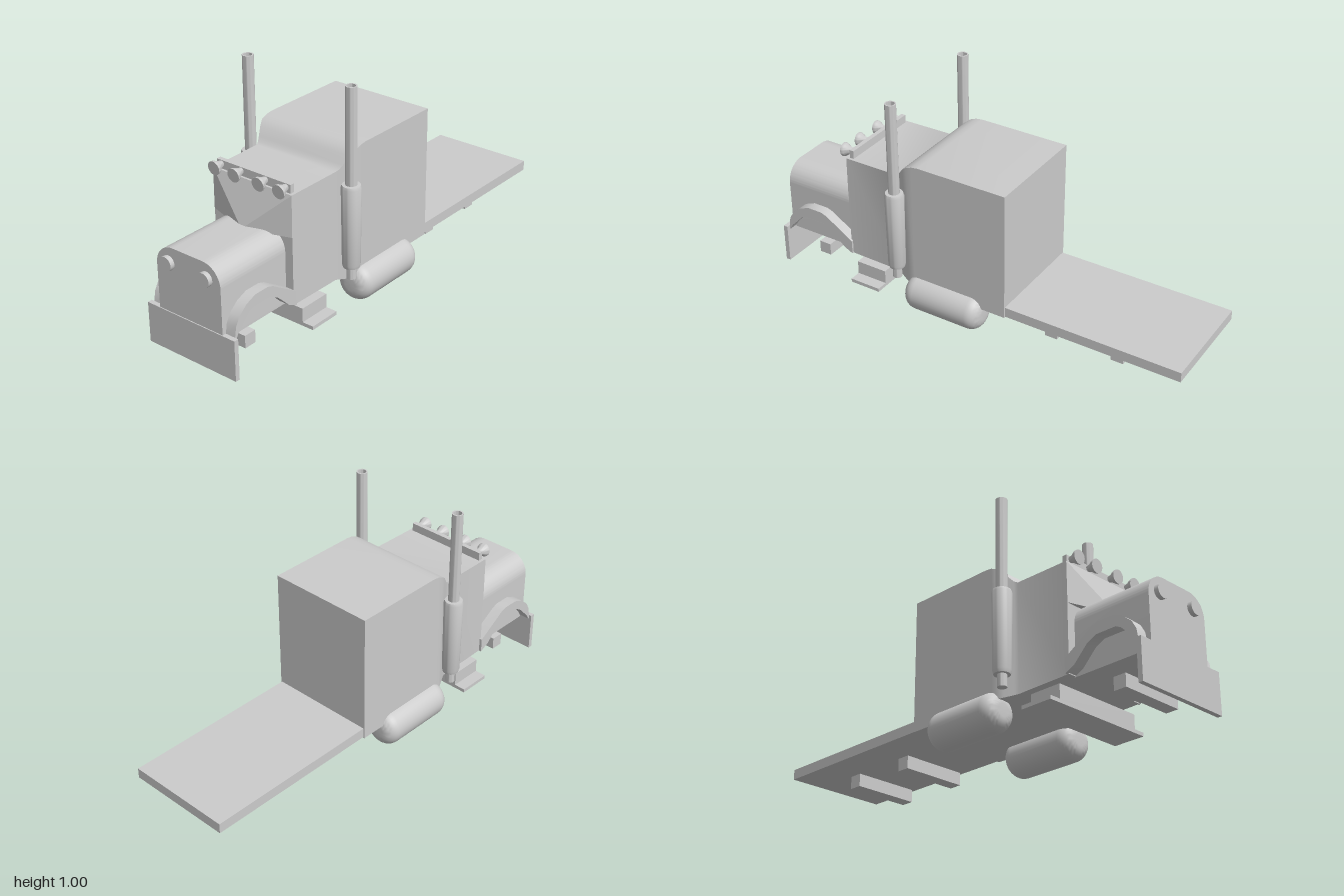
import * as THREE from 'three';
import { toCreasedNormals } from 'three/addons/utils/BufferGeometryUtils.js';
import { ConvexGeometry } from 'three/addons/geometries/ConvexGeometry.js';

const material = new THREE.MeshStandardMaterial({ color: 0xcccccc });
const openMaterial = new THREE.MeshStandardMaterial({ color: 0xcccccc, side: THREE.DoubleSide });

function add(parent, name, geometry, x = 0, y = 0, z = 0, mat = material) {
  const mesh = new THREE.Mesh(geometry, mat);
  mesh.name = name;
  mesh.position.set(x, y, z);
  parent.add(mesh);
  return mesh;
}

// Box given by half width and its y and z limits, centred on x = 0
function slab(parent, name, halfWidth, y0, y1, z0, z1) {
  return add(parent, name, new THREE.BoxGeometry(2 * halfWidth, y1 - y0, z1 - z0),
    0, (y0 + y1) / 2, (z0 + z1) / 2);
}

// Rectangular cross-sections [z, half width, bottom, top] joined from back to front
function loft(sections) {
  const positions = [], index = [];
  for (const [z, w, b, t] of sections) positions.push(w, b, z, w, t, z, -w, t, z, -w, b, z);
  for (let i = 0; i < sections.length - 1; i++) {
    for (let j = 0; j < 4; j++) {
      const a = i * 4 + j, b = i * 4 + (j + 1) % 4;
      index.push(a, b, b + 4, a, b + 4, a + 4);
    }
  }
  const f = (sections.length - 1) * 4;
  index.push(0, 2, 1, 0, 3, 2, f, f + 1, f + 2, f, f + 2, f + 3);
  const geometry = new THREE.BufferGeometry();
  geometry.setAttribute('position', new THREE.Float32BufferAttribute(positions, 3));
  geometry.setIndex(index);
  return toCreasedNormals(geometry, 0.6);
}

function lathe(points, segments = 32) {
  const geometry = new THREE.LatheGeometry(points.map(([r, y]) => new THREE.Vector2(r, y)), segments);
  return toCreasedNormals(geometry, 0.6);
}

export function createModel() {
  const model = new THREE.Group();
  model.name = 'truck';

  // Flat bed and sleeper cab blending into the driver's cab
  slab(model, 'bed', 0.24, 0.142, 0.187, -1, -0.19);
  add(model, 'cab', loft([
    [-0.197, 0.245, 0.138, 0.725], [0.22, 0.245, 0.138, 0.725], [0.25, 0.245, 0.138, 0.721],
    [0.28, 0.245, 0.139, 0.709], [0.305, 0.233, 0.142, 0.689], [0.33, 0.22, 0.145, 0.656],
    [0.345, 0.212, 0.147, 0.639], [0.36, 0.205, 0.149, 0.632], [0.618, 0.203, 0.152, 0.63],
  ]));

  // V-shaped windscreen: upright at the sides, raked along the middle
  const screen = [[0, 0.63, 0.618], [0, 0.45, 0.685], [0, 0.45, 0.6]];
  for (const s of [-1, 1]) screen.push([s * 0.203, 0.63, 0.618], [s * 0.203, 0.45, 0.619], [s * 0.203, 0.45, 0.6], [s * 0.203, 0.63, 0.6]);
  add(model, 'windscreen', new ConvexGeometry(screen.map((p) => new THREE.Vector3(...p))));

  // Hood with rounded upper edges
  const hood = new THREE.Shape();
  hood.moveTo(-0.165, 0.15);
  hood.lineTo(0.165, 0.15);
  hood.lineTo(0.165, 0.375);
  hood.absarc(0.077, 0.376, 0.088, 0, Math.PI / 2);
  hood.absarc(-0.077, 0.376, 0.088, Math.PI / 2, Math.PI);
  hood.closePath();
  const hoodGeometry = new THREE.ExtrudeGeometry(hood, { depth: 0.37, bevelEnabled: false, curveSegments: 12 });
  add(model, 'hood', toCreasedNormals(hoodGeometry, 0.6), 0, 0, 0.61);

  slab(model, 'bumper', 0.228, 0, 0.178, 0.963, 0.984);

  // Headlights
  const disc = new THREE.CylinderGeometry(0.031, 0.031, 0.04, 32).rotateX(Math.PI / 2);
  for (const x of [-0.102, 0.094]) add(model, 'headlight', disc, x, 0.396, 0.98);

  // Arched front fenders, drawn in the z-y plane and extruded sideways
  const outer = [[0.965, 0.16], [0.955, 0.22], [0.935, 0.256], [0.895, 0.29], [0.845, 0.31], [0.775, 0.31], [0.745, 0.3], [0.61, 0.215]];
  const inner = [[0.61, 0.152], [0.655, 0.174], [0.72, 0.238], [0.765, 0.26], [0.86, 0.26], [0.885, 0.247], [0.945, 0.185], [0.96, 0.16]];
  const fender = new THREE.Shape([...outer, ...inner].map(([z, y]) => new THREE.Vector2(-z, y)));
  const fenderGeometry = toCreasedNormals(
    new THREE.ExtrudeGeometry(fender, { depth: 0.054, bevelEnabled: false }).rotateY(Math.PI / 2), 0.6);
  add(model, 'rightFender', fenderGeometry, -0.215);
  add(model, 'leftFender', fenderGeometry, 0.158);

  // Roof light bar with bell-shaped lamps
  slab(model, 'lightBar', 0.19, 0.628, 0.667, 0.588, 0.608);
  const lamp = lathe([[0, -0.025], [0.01, -0.025], [0.014, -0.008], [0.018, 0.006], [0.027, 0.02], [0.03, 0.028], [0.03, 0.034], [0, 0.034]])
    .rotateX(Math.PI / 2 + 0.1);
  for (const x of [-0.165, -0.062, 0.064, 0.167]) add(model, 'roofLamp', lamp, x, 0.651, 0.62);

  // Exhaust stacks: tailpipe, silencer and hollow chimney
  const stack = lathe([
    [0, 0.167], [0.02, 0.167], [0.02, 0.22], [0.034, 0.22], [0.038, 0.235], [0.042, 0.572],
    [0.038, 0.584], [0.024, 0.585], [0.024, 1], [0.018, 1], [0.018, 0.9], [0, 0.9],
  ]);
  for (const x of [-0.266, 0.261]) add(model, 'exhaustStack', stack, x, 0, 0.33, openMaterial);

  // Fuel tanks with rounded ends
  const tankHalf = 0.188, tankRadius = 0.082, round = 0.055;
  const tankEnd = [];
  for (let i = 0; i <= 8; i++) {
    const a = (i / 8) * Math.PI / 2;
    tankEnd.push([tankRadius - round + round * Math.sin(a), -tankHalf + round - round * Math.cos(a)]);
  }
  const tank = lathe([[0, -tankHalf], ...tankEnd, ...tankEnd.map(([r, y]) => [r, -y]).reverse(), [0, tankHalf]], 40)
    .rotateX(Math.PI / 2);
  for (const x of [-0.219, 0.222]) add(model, 'fuelTank', tank, x, 0.1, 0.102);

  // Cab steps and axle blocks
  slab(model, 'upperStep', 0.215, 0.058, 0.122, 0.433, 0.58);
  slab(model, 'lowerStep', 0.267, 0.044, 0.06, 0.433, 0.58);
  for (const z of [0.815, -0.368, -0.677]) slab(model, 'axleBlock', 0.15, 0.046, 0.102, z - 0.029, z + 0.029);

  return model;
}
